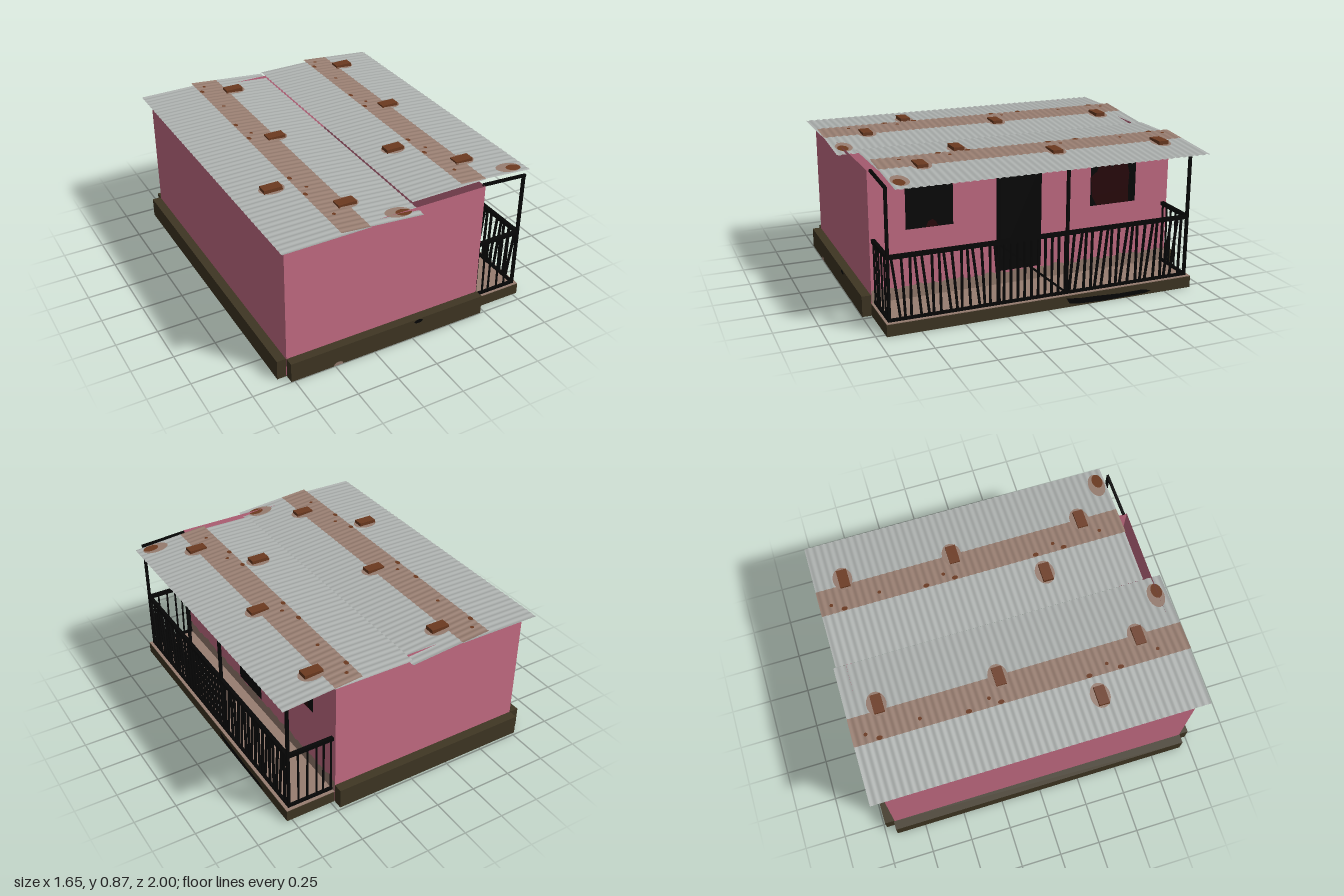
import * as THREE from 'three';

const mat = (name, color, side = THREE.FrontSide) => {
  const m = new THREE.MeshStandardMaterial({ color, side });
  m.name = name;
  return m;
};

export function createModel() {
  const M = {
    wall: mat('pink plaster', 0xc66d85, THREE.DoubleSide),
    base: mat('dark earth concrete', 0x3f3623),
    zinc: mat('grey zinc', 0xabafad),
    under: mat('brown roof underside', 0x5e331b),
    dust: mat('faded rust and dust', 0x977d70, THREE.DoubleSide),
    brick: mat('brown brick', 0x6c3a20, THREE.DoubleSide),
    iron: mat('black iron', 0x050505, THREE.DoubleSide),
    curtain: mat('dark red curtain', 0x280609, THREE.DoubleSide),
  };
  const house = new THREE.Group();
  house.name = 'house';

  const add = (name, geo, m, parent = house) => {
    const mesh = new THREE.Mesh(geo, m);
    mesh.name = name;
    parent.add(mesh);
    return mesh;
  };
  const group = (name) => {
    const g = new THREE.Group();
    g.name = name;
    house.add(g);
    return g;
  };
  // Box given by its limits on each axis
  const block = (name, m, x0, x1, y0, y1, z0, z1, parent) => {
    const mesh = add(name, new THREE.BoxGeometry(x1 - x0, y1 - y0, z1 - z0), m, parent);
    mesh.position.set((x0 + x1) / 2, (y0 + y1) / 2, (z0 + z1) / 2);
  };
  // Square bar between two points
  const bar = (name, a, b, t, parent) => {
    const p = new THREE.Vector3(...a), d = new THREE.Vector3(...b).sub(p);
    const mesh = add(name, new THREE.BoxGeometry(t, d.length(), t), M.iron, parent);
    mesh.position.copy(p).addScaledVector(d, 0.5);
    mesh.quaternion.setFromUnitVectors(new THREE.Vector3(0, 1, 0), d.normalize());
  };
  // Flat outline facing +x, its points given as [z, y]
  const sidePlate = (name, m, x, pts) => {
    const shape = new THREE.Shape(pts.map(([z, y]) => new THREE.Vector2(-z, y)));
    const mesh = add(name, new THREE.ShapeGeometry(shape), m);
    mesh.rotation.y = Math.PI / 2;
    mesh.position.x = x;
  };

  // Walls, open above and below
  const X0 = -0.77, X1 = 0.472, Z0 = -0.925, Z1 = 0.942, TOP = 0.84;
  const walls = group('walls');
  for (const [name, w, x, z, ry] of [
    ['frontWall', X1 - X0, (X0 + X1) / 2, Z1, 0],
    ['backWall', X1 - X0, (X0 + X1) / 2, Z0, Math.PI],
    ['porchWall', Z1 - Z0, X1, (Z0 + Z1) / 2, Math.PI / 2],
    ['plainWall', Z1 - Z0, X0, (Z0 + Z1) / 2, -Math.PI / 2],
  ]) {
    const wall = add(name, new THREE.PlaneGeometry(w, TOP), M.wall, walls);
    wall.position.set(x, TOP / 2, z);
    wall.rotation.y = ry;
  }

  // Foundation beams hugging three walls
  const foundation = group('foundation');
  block('frontBeam', M.base, X0, 0.475, 0, 0.122, Z1 + 0.003, 0.998, foundation);
  block('backBeam', M.base, X0, 0.475, 0, 0.122, -0.985, Z0 - 0.003, foundation);
  block('sideBeam', M.base, -0.827, X0 - 0.003, 0, 0.122, -0.93, Z1, foundation);

  // Porch: edge beams with a thin floor
  const porch = group('porch');
  block('outerEdge', M.base, 0.74, 0.78, 0, 0.069, Z0, 0.945, porch);
  block('innerEdge', M.base, 0.475, 0.5, 0, 0.069, Z0, 0.945, porch);
  block('frontEdge', M.base, 0.5, 0.74, 0, 0.069, 0.905, 0.945, porch);
  block('backEdge', M.base, 0.5, 0.74, 0, 0.069, Z0, Z0 + 0.04, porch);
  block('porchFloor', M.dust, 0.475, 0.779, 0.064, 0.073, Z0 + 0.001, 0.944, porch);

  // Dusty splash line along the foot of the porch wall
  const splash = [[Z1, 0.07]];
  for (let i = 0; i <= 60; i++)
    splash.push([Z1 + (Z0 - Z1) * i / 60, 0.147 + 0.008 * Math.sin(i * 2.3) + 0.005 * Math.sin(i * 0.9)]);
  splash.push([Z0, 0.07]);
  sidePlate('wallSplash', M.dust, 0.476, splash);

  // Door, windows and curtains
  const rect = (z0, z1, y0, y1) => [[z0, y0], [z1, y0], [z1, y1], [z0, y1]];
  sidePlate('door', M.iron, 0.479, rect(0.195, -0.085, 0.155, 0.778));
  sidePlate('frontWindow', M.iron, 0.479, rect(0.735, 0.457, 0.48, 0.793));
  sidePlate('rearWindow', M.iron, 0.479, rect(-0.4, -0.7, 0.48, 0.793));
  sidePlate('rearCurtain', M.curtain, 0.482, [[-0.44, 0.482], [-0.41, 0.54], [-0.4, 0.66], [-0.44, 0.69],
    [-0.45, 0.72], [-0.48, 0.732], [-0.52, 0.725], [-0.54, 0.705], [-0.56, 0.727], [-0.6, 0.734],
    [-0.64, 0.72], [-0.655, 0.66], [-0.65, 0.57], [-0.655, 0.482]]);
  sidePlate('frontCurtain', M.curtain, 0.482, [[0.62, 0.482], [0.605, 0.515], [0.58, 0.525], [0.56, 0.51], [0.545, 0.482]]);

  // Stains on the foundation and porch edges
  sidePlate('porchStain', M.iron, 0.782, [[-0.11, 0.055], [-0.13, 0.022], [-0.2, 0.012], [-0.35, 0.005],
    [-0.5, 0.008], [-0.62, 0.01], [-0.66, 0.022], [-0.6, 0.035], [-0.45, 0.034], [-0.3, 0.042], [-0.2, 0.045]]);
  const chip = add('foundationChip', new THREE.CircleGeometry(0.03, 12, 0, Math.PI), M.dust);
  chip.scale.y = 0.75;
  chip.position.set(-0.48, 0.002, 1);
  const soot = add('foundationSoot', new THREE.CircleGeometry(0.028, 12), M.iron);
  soot.scale.y = 0.45;
  soot.position.set(0.038, 0.108, 1);

  // Porch posts with rafters
  const railing = group('porchFrame');
  const PX = 0.752, ZF = 0.922, ZB = -0.897;
  for (const z of [ZF, 0.295, -0.122, ZB]) {
    bar('post', [PX, 0.07, z], [PX, 0.822, z], 0.016, railing);
    bar('rafter', [X1, 0.838, z], [0.764, 0.819, z], 0.015, railing);
  }
  // Rails along the side and at both ends
  for (const [y, t] of [[0.438, 0.022], [0.08, 0.016]]) {
    bar('sideRail', [PX, y, ZF], [PX, y, ZB], t, railing);
    for (const z of [ZF, ZB]) bar('endRail', [X1, y, z], [PX, y, z], t, railing);
  }
  bar('gateBrace', [PX - 0.012, 0.43, 0.295], [PX - 0.012, 0.08, -0.12], 0.012, railing);
  // Slightly crooked balusters
  const N = 44;
  for (let i = 1; i < N; i++) {
    const z = ZF + (ZB - ZF) * i / N;
    const side = z > 0.3 ? 1 : z < -0.12 ? -1 : 0;
    const lean = side * 0.011 * (1 + Math.sin(i * 1.7));
    bar('baluster', [PX, 0.08, z - lean], [PX, 0.435, z + lean], 0.012, railing);
  }
  for (const z of [ZF, ZB])
    [0.483, 0.528, 0.575, 0.63, 0.69].forEach((x, i) =>
      bar('endBaluster', [x + (i % 2) * 0.006, 0.08, z], [x, 0.435, z], 0.009, railing));

  // Corrugated roof: waves run along z, each sheet is straight along x
  const roof = group('roof');
  const WAVE = 0.0417, AMP = 0.0025;
  const sheet = (name, m, x0, y0, x1, y1, z0, z1, down) => {
    const len = z1 - z0;
    const g = new THREE.PlaneGeometry(x1 - x0, len, 1, Math.round(len / WAVE) * 6);
    g.rotateX(down ? Math.PI / 2 : -Math.PI / 2);
    g.translate((x0 + x1) / 2, 0, (z0 + z1) / 2);
    const p = g.attributes.position;
    for (let i = 0; i < p.count; i++) {
      const y = y0 + (y1 - y0) * (p.getX(i) - x0) / (x1 - x0);
      p.setY(i, y + AMP * Math.cos(p.getZ(i) * 2 * Math.PI / WAVE) - (down ? 0.001 : 0));
    }
    g.computeVertexNormals();
    add(name, g, m, roof);
  };
  // Each half: a level lower sheet and a tilted upper sheet that starts with a rusty band
  const halves = [
    { x0: -0.805, lap: -0.465, rust: -0.29, x1: 0.037, yEnd: 0.821, z0: -1, z1: 0.998 },
    { x0: 0.03, lap: 0.348, rust: 0.515, x1: 0.822, yEnd: 0.824, z0: -0.985, z1: 0.888 },
  ];
  const YL = 0.842, YH = 0.864;
  const tilt = (h, x) => YH + (h.yEnd - YH) * (x - h.lap) / (h.x1 - h.lap);
  for (const h of halves) {
    const yr = tilt(h, h.rust);
    sheet('lowerSheet', M.zinc, h.x0, YL, h.rust, YL + 0.003, h.z0, h.z1);
    sheet('lowerUnderside', M.under, h.x0, YL, h.rust, YL + 0.003, h.z0, h.z1, true);
    sheet('rustBand', M.dust, h.lap, YH, h.rust, yr, h.z0, h.z1);
    sheet('upperSheet', M.zinc, h.rust, yr, h.x1, h.yEnd, h.z0, h.z1);
    sheet('upperUnderside', M.under, h.lap, YH, h.x1, h.yEnd, h.z0, h.z1, true);
  }
  // Flat rust stain following the slope of the roof at x, z
  const stain = (m, x, z, rx, rz, lift = AMP + 0.001) => {
    const g = new THREE.CircleGeometry(1, 20);
    g.rotateX(-Math.PI / 2);
    g.scale(rx, 1, rz);
    const mesh = add('rustStain', g, m, roof);
    const h = halves[x < 0.035 ? 0 : 1];
    const tilted = x > h.lap;
    mesh.position.set(x, (tilted ? tilt(h, x) : YL + 0.002) + lift, z);
    mesh.rotation.z = tilted ? Math.atan2(h.yEnd - YH, h.x1 - h.lap) : 0;
  };

  // Level bricks weighing the sheets down, each in a rust stain
  for (const [x, z] of [
    [-0.255, -0.812], [-0.3, -0.108], [-0.58, 0.415], [-0.3, 0.737],
    [0.55, -0.807], [0.51, -0.147], [0.24, 0.35], [0.51, 0.655],
  ]) {
    block('brick', M.brick, x - 0.056, x + 0.056, 0.845, 0.868, z - 0.031, z + 0.031, roof);
    stain(M.dust, x + 0.005, z - 0.005, 0.076, 0.058);
  }
  // Rust patches near the front corners
  for (const [x, z] of [[-0.085, 0.927], [0.71, 0.83]]) {
    stain(M.dust, x, z, 0.08, 0.05);
    stain(M.brick, x + 0.027, z + 0.012, 0.048, 0.032, AMP + 0.003);
  }
  // Small rust spots along the bands
  const spots = [[-0.85, -0.33, -0.14, 0.385, 0.575], [-0.845, -0.35, -0.175, 0.325, 0.5]];
  halves.forEach((h, k) => spots[k].forEach((z, i) => {
    stain(M.brick, h.lap + 0.013, z, 0.013, 0.018);
    stain(M.brick, h.lap + 0.055, z + [-0.07, 0.11, -0.06, 0.12, 0.24][i] * (i === 1 ? -2.5 : 1), 0.011, 0.011);
  }));

  return house;
}
